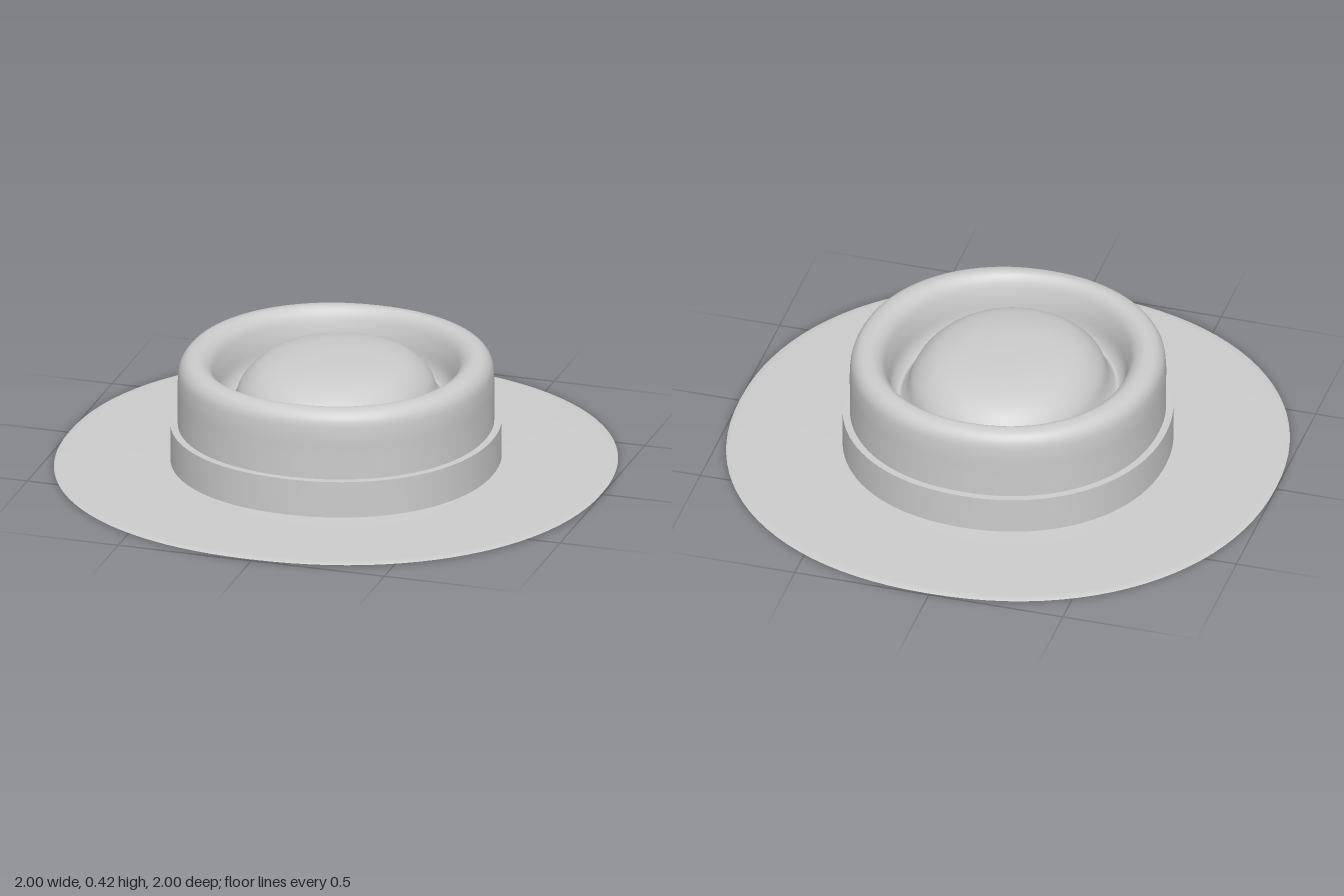
import * as THREE from 'three';

const SIDES = 96;
const material = new THREE.MeshStandardMaterial({ color: 0xcccccc, side: THREE.DoubleSide });

// Skin rings [rx, rz, y], listed from the axis outwards, with softly squared outlines
function loft(name, rings, power) {
  const positions = [], index = [];
  const soft = (v) => Math.sign(v) * Math.abs(v) ** (2 / power);
  for (const [rx, rz, y] of rings) {
    for (let j = 0; j < SIDES; j++) {
      const t = (j / SIDES) * Math.PI * 2;
      positions.push(rx * soft(Math.cos(t)), y, rz * soft(Math.sin(t)));
    }
  }
  for (let i = 0; i < rings.length - 1; i++) {
    for (let j = 0; j < SIDES; j++) {
      const k = (j + 1) % SIDES;
      const a = i * SIDES + j, b = i * SIDES + k;
      const c = a + SIDES, d = b + SIDES;
      index.push(a, b, c, b, d, c);
    }
  }
  const geometry = new THREE.BufferGeometry();
  geometry.setAttribute('position', new THREE.Float32BufferAttribute(positions, 3));
  geometry.setIndex(index);
  geometry.computeVertexNormals();
  const mesh = new THREE.Mesh(geometry, material);
  mesh.name = name;
  return mesh;
}

// Smooth curve through profile rings
function smooth(rings, count) {
  const curve = new THREE.CatmullRomCurve3(rings.map((r) => new THREE.Vector3(...r)), false, 'centripetal');
  return curve.getPoints(count).map((p) => p.toArray());
}

export function createModel() {
  const hat = new THREE.Group();
  hat.name = 'hat';

  // Hollow crown: oval dome, sunken groove, rounded rim and upright wall
  hat.add(loft('crown', smooth([
    [0.001, 0.001, 0.419], [0.1, 0.115, 0.416], [0.2, 0.23, 0.404],
    [0.28, 0.325, 0.375], [0.335, 0.382, 0.32], [0.36, 0.405, 0.26],
    [0.385, 0.425, 0.232], [0.41, 0.442, 0.26], [0.425, 0.452, 0.33],
    [0.445, 0.468, 0.385], [0.475, 0.487, 0.41], [0.505, 0.507, 0.414],
    [0.535, 0.535, 0.405], [0.555, 0.555, 0.378], [0.562, 0.562, 0.33],
    [0.562, 0.562, 0.25], [0.562, 0.562, 0.16],
  ], 80), 2.1));

  // Raised band, each face lofted separately to keep its edges sharp
  const band = new THREE.Group();
  band.name = 'band';
  const bandProfile = [[0.562, 0.16], [0.588, 0.16], [0.588, 0.024], [0.566, 0.024], [0.566, 0.012]];
  for (let i = 0; i < bandProfile.length - 1; i++) {
    const pair = bandProfile.slice(i, i + 2).map(([r, y]) => [r, r, y]);
    band.add(loft('bandFace' + (i + 1), pair, 2.1));
  }
  hat.add(band);

  // Wide thin brim, open in the middle
  const brim = new THREE.Group();
  brim.name = 'brim';
  const ring = ([r, y]) => [r, r, y];
  brim.add(loft('brimTop', [[0.562, 0.018], [0.68, 0.014], [0.85, 0.012], [0.97, 0.011], [0.992, 0.009], [1, 0.005]].map(ring), 2.13));
  brim.add(loft('brimUnderside', [[1, 0.005], [0.992, 0.001], [0.97, 0], [0.8, 0.001], [0.562, 0.006]].map(ring), 2.13));
  brim.add(loft('brimInnerEdge', [[0.562, 0.006], [0.562, 0.018]].map(ring), 2.13));
  hat.add(brim);

  return hat;
}
